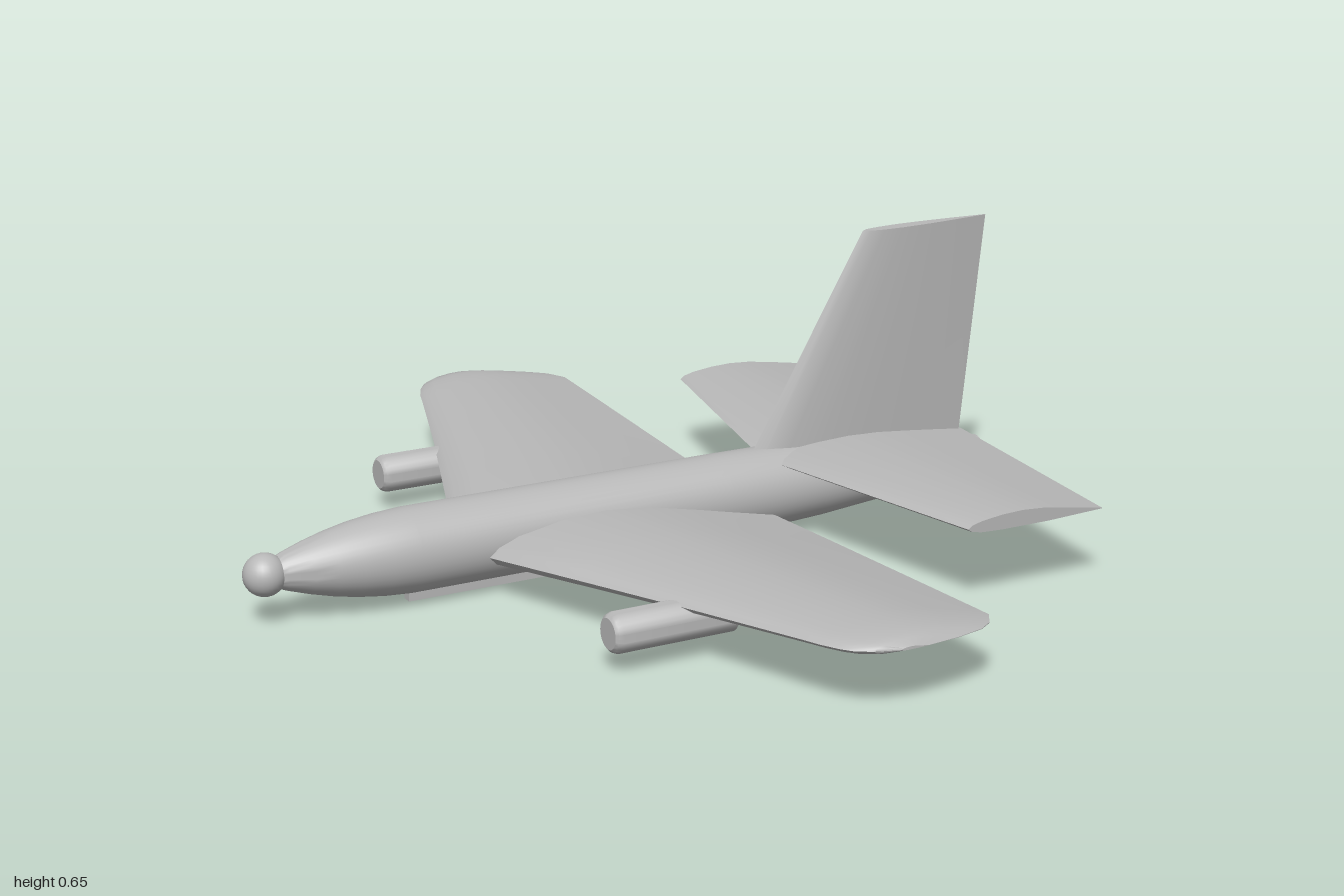
import * as THREE from 'three';
import { toCreasedNormals } from 'three/addons/utils/BufferGeometryUtils.js';

// Aerofoil outlines as [chord fraction, height fraction], from trailing edge over the top and back
const CAMBERED = [[1, .17], [.85, .43], [.7, .68], [.55, .9], [.4, 1], [.25, .95], [.1, .78], [.03, .6],
  [0, .4], [.03, .2], [.1, .07], [.25, 0], [.6, 0], [1, .13]];
const HALF = [[1, .03], [.85, .17], [.7, .31], [.5, .44], [.3, .5], [.15, .43], [.05, .28]];
const SYMMETRIC = [...HALF, [0, 0], ...HALF.slice().reverse().map(([u, f]) => [u, -f])];

// Loft a profile along z through stations [span, leading x, trailing x, base, thickness]
function loft(profile, stations) {
  const n = profile.length, pos = [], idx = [];
  for (const [z, le, te, base, t] of stations)
    for (const [u, f] of profile) pos.push(le + (te - le) * u, base + t * f, z);
  const last = (stations.length - 1) * n;
  for (let s = 0; s < last; s += n)
    for (let j = 0; j < n; j++) {
      const k = (j + 1) % n;
      idx.push(s + j, s + k, s + n + j, s + k, s + n + k, s + n + j);
    }
  for (let j = 1; j < n - 1; j++) idx.push(0, j + 1, j, last, last + j, last + j + 1);
  const g = new THREE.BufferGeometry();
  g.setAttribute('position', new THREE.Float32BufferAttribute(pos, 3));
  g.setIndex(idx);
  return toCreasedNormals(g, 0.7);
}

// Mirror half-span stations to the other side
const mirrored = (half) => [...half.slice(1).reverse().map(([z, ...r]) => [-z, ...r]), ...half];

// Turned body along x from [x, radius] points
function turned(points, segments) {
  const g = new THREE.LatheGeometry(points.map(([x, r]) => new THREE.Vector2(r, x)), segments);
  g.rotateZ(-Math.PI / 2);
  return toCreasedNormals(g, 0.6);
}

export function createModel() {
  const group = new THREE.Group();
  const grey = new THREE.MeshStandardMaterial({ color: 0xb8b8b8 });
  grey.name = 'plain grey';
  const add = (name, geometry, x = 0, y = 0, z = 0) => {
    const mesh = new THREE.Mesh(geometry, grey);
    mesh.name = name;
    mesh.position.set(x, y, z);
    group.add(mesh);
    return mesh;
  };

  // Fuselage, nose towards -x
  add('fuselage', turned([[-.82, 0], [-.82, .03], [-.8, .039], [-.75, .055], [-.7, .068], [-.65, .078], [-.59, .086],
    [-.53, .09], [.2, .09], [.32, .089], [.45, .083], [.6, .071], [.75, .053], [.88, .034], [.88, 0]], 40), 0, .11, 0);
  add('noseBall', new THREE.SphereGeometry(.045, 28, 18), -.84, .11, 0);

  // Main wing with dihedral and rounded tips
  add('wing', loft(CAMBERED, mirrored([
    [0, -.414, .305, .05, .1], [.3, -.302, .303, .073, .08], [.6, -.19, .3, .095, .06],
    [.86, -.1, .297, .114, .044], [.9, -.087, .296, .117, .041], [.94, -.068, .27, .12, .037],
    [.965, -.05, .235, .123, .031], [.985, -.02, .17, .127, .023], [1, .03, .09, .133, .006]])));

  // Tailplane and fin
  add('tailplane', loft(CAMBERED, mirrored([[0, .32, .84, .158, .042], [.6, .45, .785, .163, .034]])));
  const fin = loft(SYMMETRIC, [[.15, .27, .83, 0, .04], [.655, .565, .884, 0, .032]]);
  fin.rotateX(-Math.PI / 2);
  add('fin', fin);

  // Pods under the wing
  for (const side of [-1, 1])
    add(side > 0 ? 'leftPod' : 'rightPod',
      turned([[-.35, 0], [-.35, .032], [-.345, .038], [-.335, .042], [-.08, .042], [-.08, 0]], 28), 0, .082, side * .55);

  // Skid along the belly
  add('bellySkid', new THREE.BoxGeometry(.51, .04, .024), -.275, .02, 0);
  return group;
}
